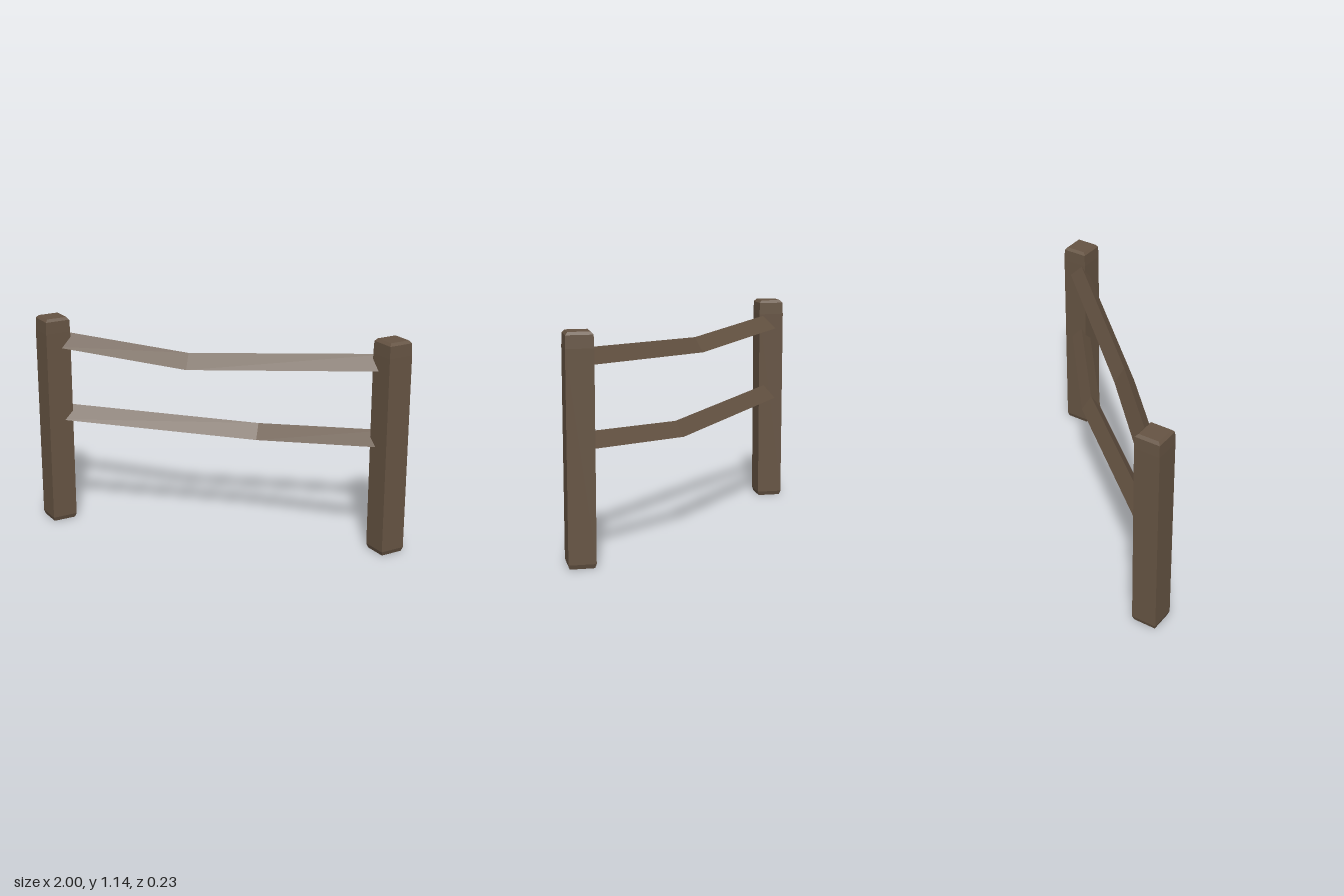
import * as THREE from 'three';

const wood = new THREE.MeshStandardMaterial({ color: 0x665443 });
wood.name = 'weathered wood';

// Square post set corner-forward, with worn edges at top and bottom
function makePost(name, x) {
  const profile = [[0, 0], [0.086, 0], [0.096, 0.022], [0.097, 1.06], [0.094, 1.124], [0.077, 1.138], [0, 1.138]];
  const lathe = new THREE.LatheGeometry(profile.map(([r, y]) => new THREE.Vector2(r, y)), 4);
  const geometry = lathe.toNonIndexed();
  geometry.computeVertexNormals();
  const post = new THREE.Mesh(geometry, wood);
  post.name = name;
  post.position.set(x, 0, 0.02);
  return post;
}

// Split rail: a triangular section swept through bent stations [x, base y, centre z]
function makeRail(name, stations) {
  const section = [[0, 0.051], [0.078, 0], [0, -0.051]]; // front, ridge, back as [y, z]
  const rings = stations.map(([x, y, z]) => section.map(([dy, dz]) => [x, y + dy, z + dz]));
  const points = [];
  for (let i = 0; i < rings.length - 1; i++) {
    for (let k = 0; k < 3; k++) {
      const n = (k + 1) % 3;
      const a = rings[i][k], b = rings[i + 1][k], c = rings[i + 1][n], d = rings[i][n];
      points.push(a, b, c, a, c, d);
    }
  }
  // End caps
  const first = rings[0], last = rings[rings.length - 1];
  points.push(first[0], first[1], first[2], last[0], last[2], last[1]);

  const geometry = new THREE.BufferGeometry();
  geometry.setAttribute('position', new THREE.Float32BufferAttribute(points.flat(), 3));
  geometry.computeVertexNormals();
  const rail = new THREE.Mesh(geometry, wood);
  rail.name = name;
  return rail;
}

export function createModel() {
  const fence = new THREE.Group();
  fence.name = 'fence';
  fence.add(
    makePost('leftPost', 0.903),
    makePost('rightPost', -0.903),
    makeRail('upperRail', [[-0.9, 0.98, 0.002], [-0.15, 0.918, 0.04], [0.9, 0.979, 0.002]]),
    makeRail('lowerRail', [[-0.9, 0.576, 0.006], [0.2, 0.53, -0.066], [0.9, 0.577, 0.008]]),
  );
  return fence;
}
